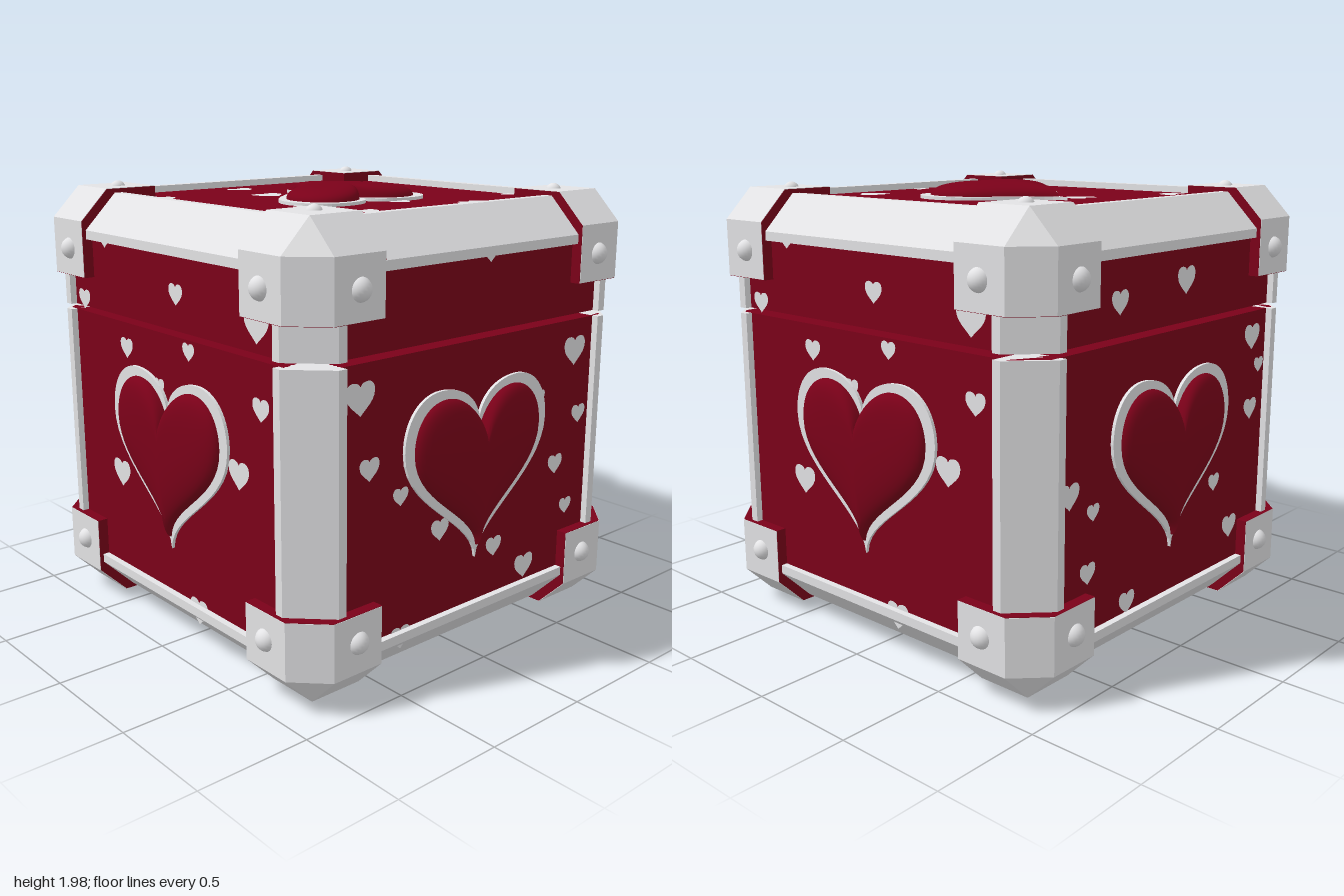
import * as THREE from 'three';
import { toCreasedNormals } from 'three/addons/utils/BufferGeometryUtils.js';
import { ConvexGeometry } from 'three/addons/geometries/ConvexGeometry.js';

const mat = (name, color) => Object.assign(new THREE.MeshStandardMaterial({ color }), { name });
const red = mat('deep red', 0x7b0119);
const silver = mat('silver', 0xe3e3e5);

const MID = 0.9875;   // height of the chest's centre
const PANEL = 0.915;  // distance of the panels from the centre
const SIGNS = [-1, 1];

function add(parent, name, geometry, material, x = 0, y = 0, z = 0) {
  const mesh = new THREE.Mesh(geometry, material);
  mesh.name = name;
  mesh.position.set(x, y, z);
  parent.add(mesh);
  return mesh;
}

// Heart outline, 0.86 wide and 0.77 high; a larger tip value makes it plumper
function heartShape(notch, tip) {
  const s = new THREE.Shape();
  s.moveTo(0, -0.39);
  s.bezierCurveTo(tip, -0.21, 0.43, -0.09, 0.43, 0.16);
  s.bezierCurveTo(0.43, 0.3, 0.34, 0.385, 0.23, 0.385);
  s.bezierCurveTo(0.1, 0.385, 0.02, notch + 0.08, 0, notch);
  s.bezierCurveTo(-0.02, notch + 0.08, -0.1, 0.385, -0.23, 0.385);
  s.bezierCurveTo(-0.34, 0.385, -0.43, 0.3, -0.43, 0.16);
  s.bezierCurveTo(-0.43, -0.09, -tip, -0.21, 0, -0.39);
  return s;
}

// Puffed heart: outline rings shrinking to the middle along a rounded profile
function puffedHeart(height) {
  const outline = heartShape(0.2, 0.02).getPoints(14).slice(0, -1);
  const n = outline.length, rings = 12, cy = 0.1;
  const pos = [], index = [];
  for (let j = 0; j <= rings; j++) {
    const a = (j / rings) * Math.PI / 2;
    const s = Math.pow(Math.max(Math.cos(a), 0), 2 / 3);
    const h = Math.pow(Math.sin(a), 2 / 3) * height;
    for (const p of outline) pos.push(p.x * s, cy + (p.y - cy) * s, h);
  }
  for (let j = 0; j < rings; j++) {
    for (let i = 0; i < n; i++) {
      const a = j * n + i, b = j * n + (i + 1) % n;
      index.push(a, b, b + n);
      if (j < rings - 1) index.push(a, b + n, a + n);
    }
  }
  const g = new THREE.BufferGeometry();
  g.setAttribute('position', new THREE.Float32BufferAttribute(pos, 3));
  g.setIndex(index);
  g.scale(0.88, 0.88, 1);
  g.translate(0, 0.008, 0);
  return toCreasedNormals(g, 0.9);
}

// Half of the chest: panels with edges cut back to stay under the beams
function shell(end, gap) {
  const c = 0.8, pts = [];
  for (const x of SIGNS) for (const z of SIGNS) {
    pts.push(new THREE.Vector3(x * c, end * PANEL, z * c));
    for (const y of [end * c, gap]) {
      pts.push(new THREE.Vector3(x * PANEL, y, z * c), new THREE.Vector3(x * c, y, z * PANEL));
    }
  }
  return new ConvexGeometry(pts);
}

// Corner block with its three outer edges chamfered
function cornerBlock(lo, hi, c, signs) {
  const base = [[hi, c, c], [hi, c, lo], [hi, lo, c], [hi, lo, lo]];
  const pts = [new THREE.Vector3(lo, lo, lo)];
  for (const [a, b, d] of base) {
    pts.push(new THREE.Vector3(a, b, d), new THREE.Vector3(d, a, b), new THREE.Vector3(b, d, a));
  }
  return new ConvexGeometry(pts.map(p => p.multiply(signs)));
}

// Edge beam with chamfered outer edge, running along z
function beamGeometry(z0, z1) {
  const s = new THREE.Shape([[0.75, 0.75], [0.945, 0.75], [0.945, 0.79], [0.79, 0.945], [0.75, 0.945]]
    .map(p => new THREE.Vector2(...p)));
  return new THREE.ExtrudeGeometry(s, { depth: z1 - z0, bevelEnabled: false }).translate(0, 0, z0);
}

// Scattered small hearts: x, y from the chest's centre, width
const FRONT = [[-.66, .28, .15], [-.61, -.01, .105], [-.44, -.16, .085], [-.21, -.36, .105], [.13, -.525, .1],
  [.34, -.675, .125], [.63, .275, .145], [.68, -.025, .095], [.53, -.235, .1], [.62, -.455, .085], [.4, .1, .07],
  [-.43, -.775, .11], [.05, .765, .08], [-.78, -.26, .07]];
const RIGHT = [[-.67, .475, .1], [-.32, .305, .1], [.08, .595, .1], [.62, .55, .155], [.16, .368, .085],
  [.64, .225, .105], [.49, -.075, .135], [-.41, -.295, .14], [-.07, .18, .08], [.18, -.775, .13], [-.47, .765, .08]];
const BACK = [[-.69, -.14, .12], [-.57, -.49, .1], [-.54, -.24, .08], [-.3, -.7, .11], [.5, -.58, .12],
  [.35, -.33, .09], [.64, -.04, .11], [.63, .3, .13], [.7, .16, .08], [-.39, .58, .11], [.07, .62, .13]];
const TOP = [[-.61, .46, .13], [-.08, .59, .13], [-.15, .28, .15], [.39, .25, .135], [-.33, -.23, .13],
  [.1, -.34, .1], [-.68, -.44, .09], [-.27, -.53, .11], [.32, -.58, .15], [-.1, -.69, .09], [.73, -.43, .1]];

export function createModel() {
  const model = new THREE.Group();
  model.name = 'heartChest';
  const chest = new THREE.Group();
  chest.name = 'chest';
  chest.position.y = MID;
  model.add(chest);

  // Body and lid with an open gap between them
  add(chest, 'body', shell(-1, 0.41), red);
  add(chest, 'lid', shell(1, 0.435), red);

  // Hinges bridging the gap at the back
  for (const s of SIGNS) {
    for (const x of [0.4, 0.55]) {
      add(chest, 'hinge', new THREE.BoxGeometry(0.143, 0.04, 0.06), silver, s * x, 0.4225, -0.77);
    }
  }

  // Edge beams: across, upright (split at the lid) and front to back
  const beamSets = [
    ['crossBeam', 0, Math.PI / 2, -0.6, 0.6],
    ['lowerPost', -Math.PI / 2, 0, -0.6, 0.41],
    ['upperPost', -Math.PI / 2, 0, 0.435, 0.6],
    ['sideBeam', 0, 0, -0.6, 0.6],
  ];
  for (const [name, rx, ry, z0, z1] of beamSets) {
    const set = new THREE.Group();
    set.name = name + 's';
    set.rotation.set(rx, ry, 0);
    chest.add(set);
    const geometry = beamGeometry(z0, z1);
    for (let k = 0; k < 4; k++) add(set, name, geometry, silver).rotation.z = k * Math.PI / 2;
  }

  // Corner blocks with red inner ends, and a rivet on each outer face
  const bigRivet = new THREE.SphereGeometry(0.05, 20, 14);
  const smallRivet = new THREE.SphereGeometry(0.035, 20, 14);
  for (const x of SIGNS) for (const y of SIGNS) for (const z of SIGNS) {
    const signs = new THREE.Vector3(x, y, z);
    add(chest, 'cornerBlock', cornerBlock(0.58, 0.965, 0.83, signs), silver);
    add(chest, 'cornerLining', cornerBlock(0.578, 0.963, 0.829, signs), red);
    add(chest, 'rivet', bigRivet, silver, x * 0.95, y * 0.7, z * 0.7);
    add(chest, 'rivet', bigRivet, silver, x * 0.7, y * 0.7, z * 0.95);
    add(chest, 'rivet', smallRivet, silver, x * 0.7, y * 0.9525, z * 0.7);
  }

  // Panel decoration: large raised heart with a rim, and small flat hearts
  const rim = new THREE.ExtrudeGeometry(heartShape(0.24, 0.01), { depth: 0.014, bevelEnabled: false, curveSegments: 14 });
  const puff = puffedHeart(0.072);
  const flat = new THREE.ShapeGeometry(heartShape(0.26, 0.17), 6);
  const faces = [
    ['front', 0, 0, FRONT, 1], ['right', 0, Math.PI / 2, RIGHT, 1],
    ['back', 0, Math.PI, BACK, 1], ['left', 0, -Math.PI / 2, RIGHT, 1],
    ['top', -Math.PI / 2, 0, TOP, 0.84], ['bottom', Math.PI / 2, 0, TOP, 0],
  ];
  for (const [name, rx, ry, spots, size] of faces) {
    const face = new THREE.Group();
    face.name = name + 'Decoration';
    face.rotation.set(rx, ry, 0);
    chest.add(face);
    for (const [x, y, w] of spots) {
      add(face, 'smallHeart', flat, silver, x, y - 0.008, PANEL + 0.003).scale.set(w / 0.86, w * 0.9 / 0.77, 1);
    }
    if (!size) continue;
    const heart = new THREE.Group();
    heart.name = name + 'Heart';
    heart.position.set(0, name === 'top' ? 0.005 : -0.153, PANEL);
    heart.rotation.z = name === 'top' ? Math.PI : 0;
    heart.scale.set(size, size, 1);
    add(heart, 'heartRim', rim, silver);
    add(heart, 'raisedHeart', puff, red);
    face.add(heart);
  }
  return model;
}
